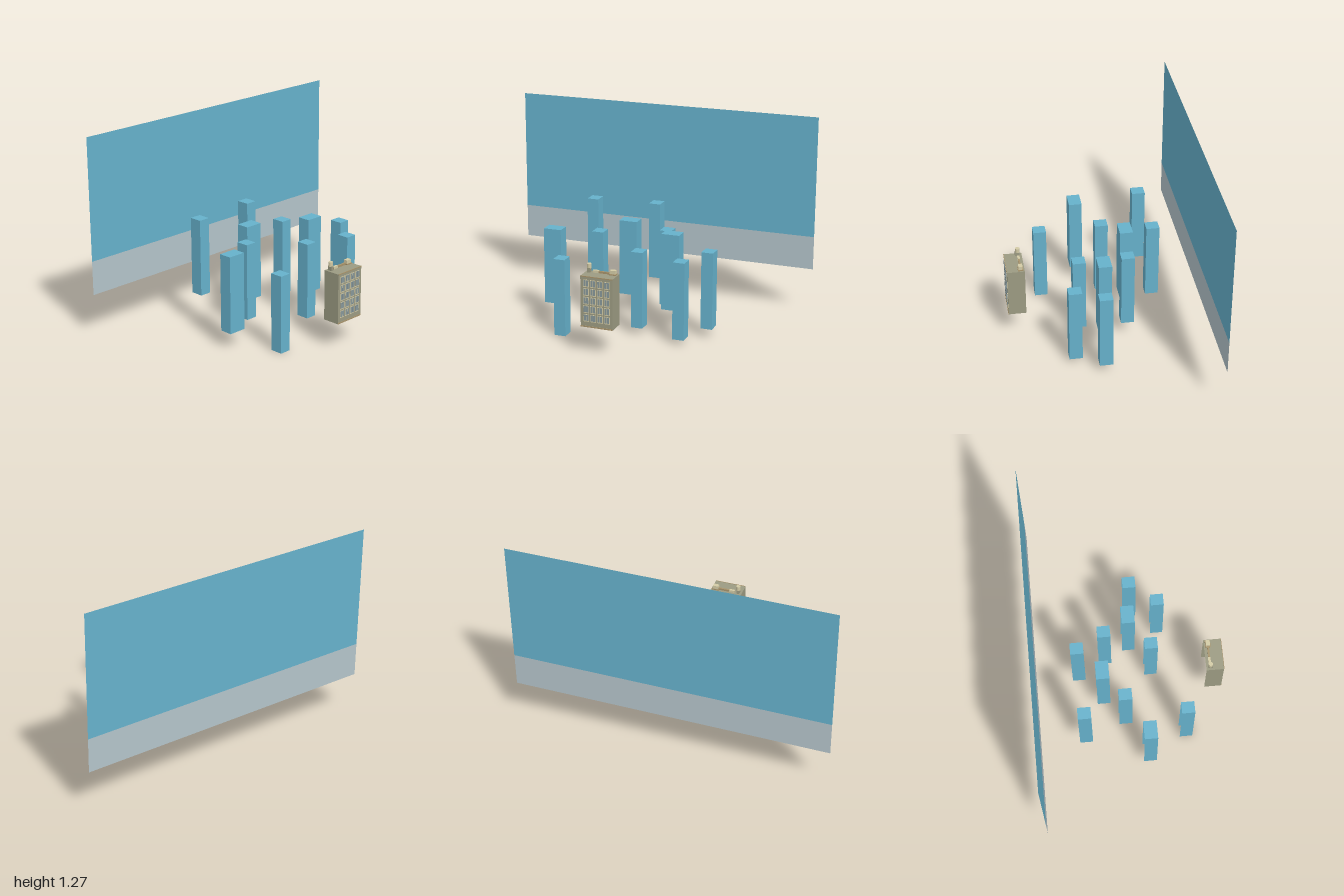
import * as THREE from 'three';

const mat = (name, color, side = THREE.FrontSide) => {
  const m = new THREE.MeshStandardMaterial({ color, side });
  m.name = name;
  return m;
};

// Box given by its limits; an open shell has no back and no underside
function block(name, material, [x0, x1], [y0, y1], [z0, z1], open = false) {
  const g = new THREE.BoxGeometry(x1 - x0, y1 - y0, z1 - z0);
  if (open) {
    const all = Array.from(g.index.array);
    const keep = [0, 1, 2, 4]; // right, left, top, front
    g.setIndex(keep.flatMap((f) => all.slice(f * 6, f * 6 + 6)));
    g.clearGroups();
  }
  g.translate((x0 + x1) / 2, (y0 + y1) / 2, (z0 + z1) / 2);
  const mesh = new THREE.Mesh(g, material);
  mesh.name = name;
  return mesh;
}

export function createModel() {
  const blue = mat('sky blue', 0x66b1cb, THREE.DoubleSide);
  const haze = mat('haze grey', 0xb4c4ca, THREE.DoubleSide);
  const stone = mat('khaki stone', 0x9c9b82, THREE.DoubleSide);
  const cream = mat('cream trim', 0xd3cba6);
  const glass = mat('window glass', 0x87979a);
  const tan = mat('tan trim', 0xa8946c);

  const model = new THREE.Group();
  model.name = 'cityDiorama';

  // Backdrop: sky above a band of haze
  const panel = (name, material, y0, y1) => {
    const p = new THREE.Mesh(new THREE.PlaneGeometry(2, y1 - y0), material);
    p.position.set(0, (y0 + y1) / 2, -0.592);
    p.name = name;
    model.add(p);
  };
  panel('backdropSky', blue, 0.5, 1.275);
  panel('backdropHaze', haze, 0.285, 0.5);

  // Distant towers: centre x, centre z, base height, top height, width
  const towers = [
    [-0.379, -0.307, 0.205, 0.695, 0.074],
    [0.038, -0.321, 0.21, 0.702, 0.074],
    [-0.085, -0.175, 0.128, 0.616, 0.117],
    [0.176, -0.145, 0.102, 0.59, 0.074],
    [-0.238, -0.045, 0.076, 0.566, 0.074],
    [0.265, 0.014, 0.133, 0.622, 0.115],
    [0.513, 0.043, 0.055, 0.545, 0.074],
    [-0.488, 0.088, 0.105, 0.594, 0.115],
    [0.097, 0.146, 0.041, 0.53, 0.074],
    [0.39, 0.212, 0.028, 0.519, 0.074],
    [-0.334, 0.338, 0, 0.492, 0.074],
  ];
  for (const [x, z, y0, y1, w] of towers) {
    model.add(block('tower', blue, [x - w / 2, x + w / 2], [y0, y1], [z - 0.041, z + 0.041], true));
  }

  // Main building shell
  const building = new THREE.Group();
  building.name = 'mainBuilding';
  model.add(building);
  building.add(block('walls', stone, [-0.102, 0.102], [0.17, 0.487], [0.478, 0.588], true));

  // Front windows: a cream frame and two panes for each
  const cols = 4, rows = 5;
  for (let c = 0; c < cols; c++) {
    for (let r = 0; r < rows; r++) {
      const x = -0.066 + c * 0.044;
      const y = 0.228 + r * 0.054;
      building.add(block('windowFrame', cream, [x - 0.018, x + 0.018], [y - 0.023, y + 0.023], [0.588, 0.59]));
      for (const s of [-1, 1]) {
        const px = x + s * 0.008;
        building.add(block('windowPane', glass, [px - 0.0065, px + 0.0065], [y - 0.017, y + 0.02], [0.589, 0.592]));
      }
    }
  }

  // Base and cornice strips
  building.add(block('baseStrip', tan, [-0.102, 0.102], [0.17, 0.178], [0.588, 0.591]));
  building.add(block('cornice', tan, [-0.102, 0.102], [0.483, 0.489], [0.588, 0.591]));

  // Roof equipment: tank on a stand, duct, vent box
  building.add(block('tankStand', stone, [-0.088, -0.07], [0.487, 0.515], [0.492, 0.52]));
  const tank = new THREE.Mesh(new THREE.CylinderGeometry(0.014, 0.014, 0.028, 12), cream);
  tank.position.set(-0.079, 0.526, 0.504);
  tank.name = 'waterTank';
  building.add(tank);
  building.add(block('roofDuct', tan, [-0.055, 0.06], [0.487, 0.499], [0.497, 0.508]));
  building.add(block('ductBox', cream, [-0.055, -0.02], [0.487, 0.502], [0.494, 0.51]));
  building.add(block('ventBox', cream, [0.055, 0.09], [0.487, 0.515], [0.49, 0.516]));
  building.add(block('ventCurb', tan, [0.05, 0.094], [0.487, 0.494], [0.486, 0.52]));

  return model;
}
